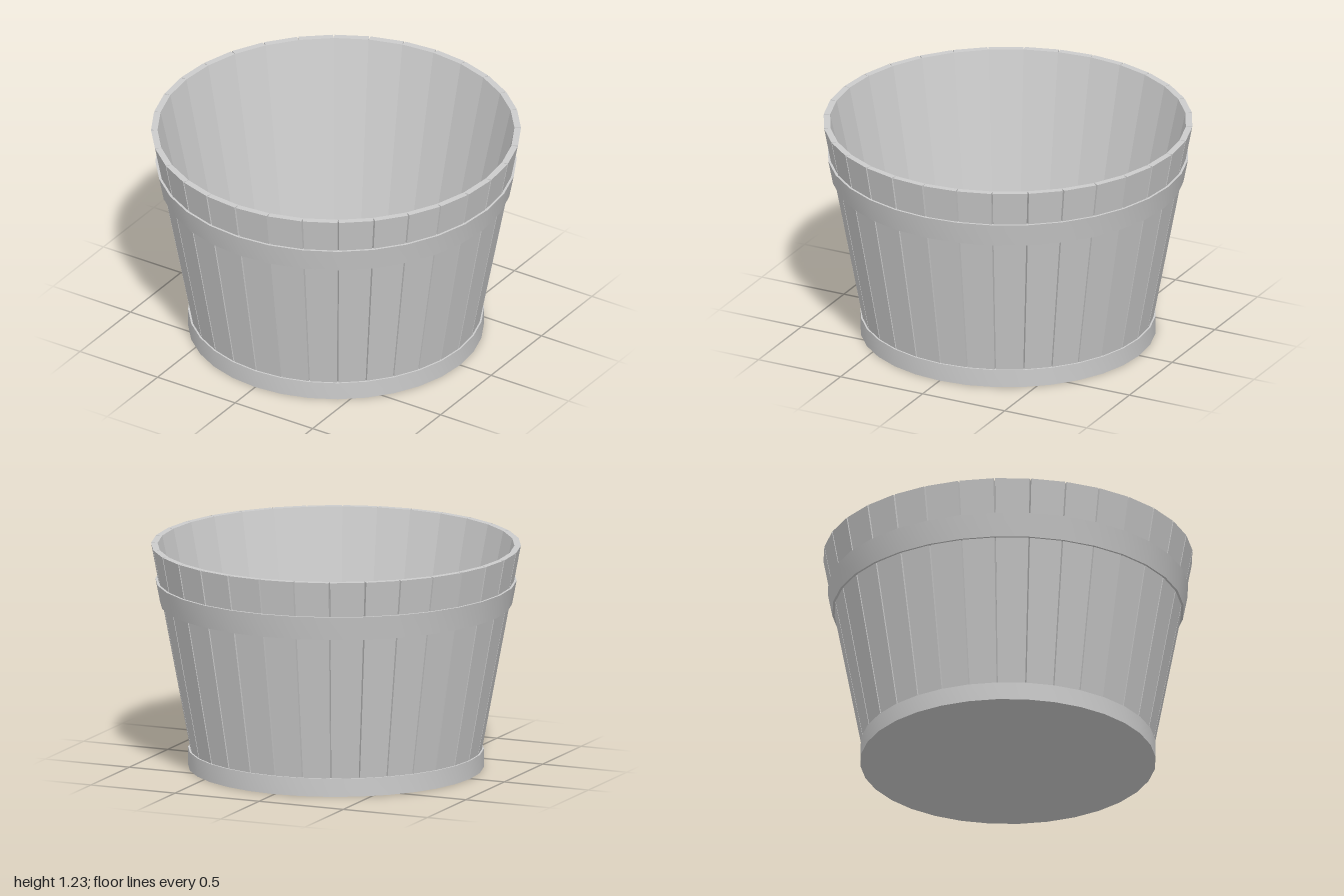
import * as THREE from 'three';
import { mergeGeometries, toCreasedNormals } from 'three/addons/utils/BufferGeometryUtils.js';

const SIDES = 32;
const TOP = 1.225;
const FLOOR = 0.03;
const STEP = (Math.PI * 2) / SIDES;

const grey = () => new THREE.MeshStandardMaterial({ color: 0xcccccc });

// Tapered plank: the outer face is a little narrower, leaving a V groove between neighbours
function staveGeometry(index) {
  const geo = new THREE.BoxGeometry(1, 1, 1);
  const pos = geo.attributes.position;
  const middle = (index + 0.5) * STEP;
  for (let i = 0; i < pos.count; i++) {
    const outer = pos.getZ(i) > 0;
    const upper = pos.getY(i) > 0;
    const radius = outer ? (upper ? 1.0 : 0.777) : (upper ? 0.965 : 0.71);
    const angle = middle + pos.getX(i) * (STEP - (outer ? 0.009 : 0));
    pos.setXYZ(i, radius * Math.sin(angle), upper ? TOP : FLOOR, radius * Math.cos(angle));
  }
  geo.computeVertexNormals();
  return geo;
}

// Ring turned from a closed profile of [radius, height], smooth around, sharp at its edges
function hoop(name, profile) {
  const points = profile.map(([r, y]) => new THREE.Vector2(r, y));
  const geo = toCreasedNormals(new THREE.LatheGeometry(points, SIDES), 0.5);
  const mesh = new THREE.Mesh(geo, grey());
  mesh.name = name;
  return mesh;
}

export function createModel() {
  const tub = new THREE.Group();
  tub.name = 'woodenTub';

  // Staves
  const planks = [];
  for (let i = 0; i < SIDES; i++) planks.push(staveGeometry(i));
  const staves = new THREE.Mesh(mergeGeometries(planks), grey());
  staves.name = 'staves';
  tub.add(staves);

  // Floor disc under the staves
  const floor = new THREE.Mesh(new THREE.CylinderGeometry(0.79, 0.79, FLOOR, SIDES), grey());
  floor.name = 'floor';
  floor.position.y = FLOOR / 2;
  tub.add(floor);

  // Sloping upper hoop and straight bottom hoop
  tub.add(hoop('upperHoop', [[0.93, 0.9], [0.952, 0.9], [0.977, 1.03], [0.955, 1.03], [0.93, 0.9]]));
  tub.add(hoop('bottomHoop', [[0.76, 0], [0.8, 0], [0.8, 0.1], [0.78, 0.1], [0.76, 0]]));

  return tub;
}
